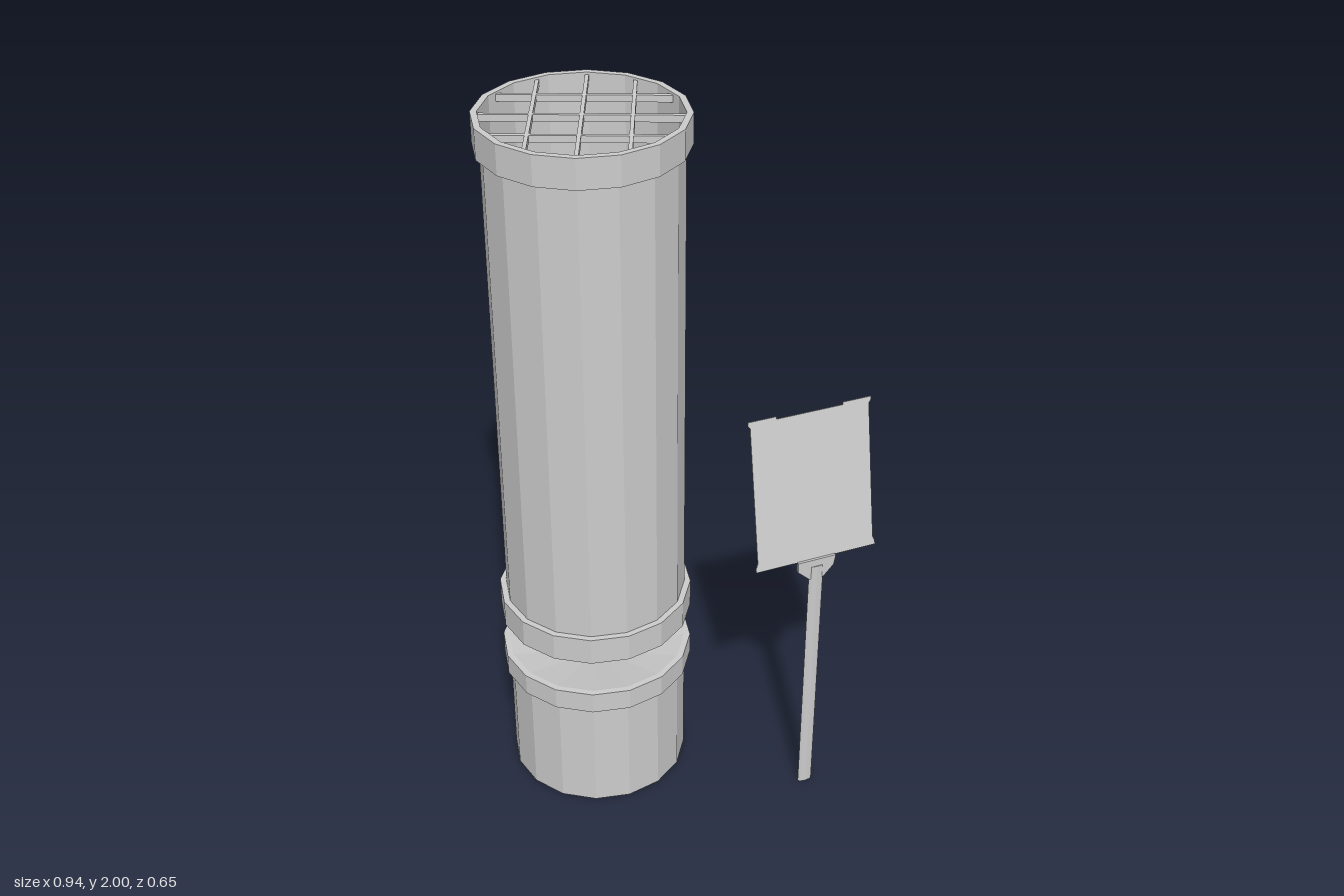
import * as THREE from 'three';

const SIDES = 16, R = 0.25, RIM = 0.267;
const material = new THREE.MeshStandardMaterial({ color: 0xcccccc, flatShading: true, side: THREE.DoubleSide });

function add(parent, name, geometry, x = 0, y = 0, z = 0) {
  const mesh = new THREE.Mesh(geometry, material);
  mesh.name = name;
  mesh.position.set(x, y, z);
  parent.add(mesh);
  return mesh;
}

const lathe = (points) =>
  new THREE.LatheGeometry(points.map(([r, y]) => new THREE.Vector2(r, y)), SIDES);

// Square-section ring around the tube
const collar = (y0, y1) => lathe([[R, y0], [RIM, y0], [RIM, y1], [R, y1], [R, y0]]);

const plate = (points, depth) => {
  const shape = new THREE.Shape(points.map(([x, y]) => new THREE.Vector2(x, y)));
  return new THREE.ExtrudeGeometry(shape, { depth, bevelEnabled: false }).translate(0, 0, -depth / 2);
};

// Crossed bars, three each way, trimmed to the round opening
function makeGrille(name, y) {
  const grille = new THREE.Group();
  grille.name = name;
  grille.position.y = y;
  grille.rotation.y = -Math.PI / 8;
  for (const offset of [-0.122, 0, 0.122]) {
    const length = 2 * Math.sqrt(0.248 ** 2 - offset ** 2);
    add(grille, 'grilleBarAcross', new THREE.BoxGeometry(length, 0.018, 0.01), 0, 0, offset);
    add(grille, 'grilleBarAlong', new THREE.BoxGeometry(0.01, 0.018, length), offset, 0, 0);
  }
  return grille;
}

export function createModel() {
  const model = new THREE.Group();
  model.name = 'displayTubeWithSign';

  const column = new THREE.Group();
  column.name = 'column';
  column.position.set(-0.203, 0, -0.06);
  model.add(column);

  // Pedestal with a shallow dished top
  add(column, 'pedestalWall', lathe([[R, 0], [R, 0.408]]));
  add(column, 'pedestalCollar', collar(0.345, 0.408));
  add(column, 'pedestalDish', lathe([[R, 0.408], [0, 0.345]]));

  // Raised tube, open at both ends behind grilles
  add(column, 'tubeWall', lathe([[R, 0.52], [R, 2]]));
  add(column, 'tubeLowerCollar', collar(0.52, 0.6));
  add(column, 'tubeUpperCollar', collar(1.92, 2));
  column.add(makeGrille('lowerGrille', 0.535), makeGrille('upperGrille', 1.985));

  // Pointed core and its two sloping arms inside the tube
  const core = new THREE.Group();
  core.name = 'innerCore';
  core.position.y = 1.25;
  core.rotation.y = 0.57;
  column.add(core);
  const crystal = add(core, 'coreCrystal', new THREE.OctahedronGeometry(0.07));
  crystal.scale.y = 1.8;
  crystal.rotation.y = 0.35;
  for (const side of [-1, 1]) {
    const arm = add(core, 'coreArm', new THREE.BoxGeometry(0.025, 0.012, 0.17), 0, -0.06, side * 0.06);
    arm.rotation.x = side * 0.785;
  }

  // Free-standing sign
  const sign = new THREE.Group();
  sign.name = 'sign';
  sign.position.set(0.292, 0, 0.32);
  model.add(sign);

  const post = new THREE.CylinderGeometry(0.021, 0.021, 0.78, 8).scale(1, 1, 0.33);
  add(sign, 'signPost', post, 0, 0.39, 0);
  add(sign, 'signBracket', plate(
    [[-0.021, 0.74], [0.021, 0.74], [0.05, 0.772], [0.055, 0.802], [-0.055, 0.802], [-0.055, 0.772]], 0.008));

  // Leaning panel with small tabs at its corners
  const half = [[0.175, 0], [0.175, 0.01], [0.169, 0.025], [0.169, 0.412], [0.175, 0.42], [0.175, 0.43], [0.095, 0.43], [0.095, 0.423]];
  const mirrored = half.map(([x, y]) => [-x, y]).reverse();
  const panel = add(sign, 'signPanel', plate([...half, ...mirrored], 0.003), 0, 0.8, -0.004);
  panel.rotation.x = -0.19;

  return model;
}
